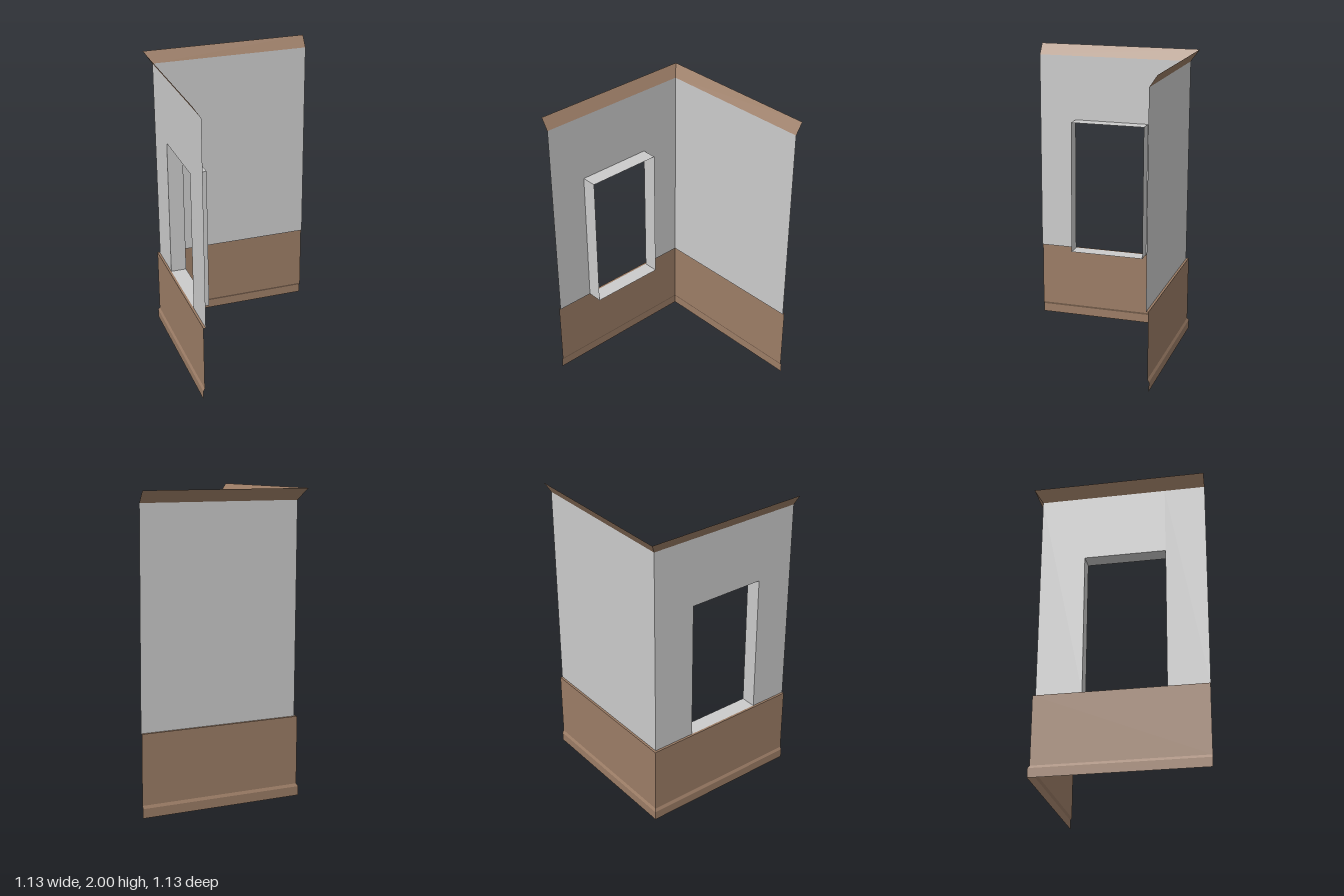
import * as THREE from 'three';

const END = 0.565; // free end of both walls
const WALL = -0.515; // plane of the plaster on both walls
const RAIL = 0.53; // top of the wainscot
const WINDOW = { y: 1.475, z0: -0.223, z1: 0.303, inner: -0.41 };

export function createModel() {
  const model = new THREE.Group();
  model.name = 'roomCorner';

  const plaster = new THREE.MeshStandardMaterial({ color: 0xcccccc, side: THREE.DoubleSide });
  plaster.name = 'grey plaster';
  const wood = new THREE.MeshStandardMaterial({ color: 0x9c7d66, side: THREE.DoubleSide });
  wood.name = 'brown wood';

  // Flat-shaded sheet from quads, each given as four corners
  function sheet(name, material, quads) {
    const points = quads.flatMap(([a, b, c, d]) => [a, b, c, a, c, d]).flat();
    const geometry = new THREE.BufferGeometry();
    geometry.setAttribute('position', new THREE.Float32BufferAttribute(points, 3));
    geometry.computeVertexNormals();
    const mesh = new THREE.Mesh(geometry, material);
    mesh.name = name;
    model.add(mesh);
  }

  // Profile of [offset, height] points, bottom to top, mitred around the corner
  function molding(name, profile) {
    const quads = [];
    for (let i = 0; i < profile.length - 1; i++) {
      const [d0, y0] = profile[i];
      const [d1, y1] = profile[i + 1];
      quads.push([[d0, y0, d0], [END, y0, d0], [END, y1, d1], [d1, y1, d1]]);
      quads.push([[d0, y0, END], [d0, y0, d0], [d1, y1, d1], [d1, y1, END]]);
    }
    sheet(name, wood, quads);
  }

  molding('baseboard', [[-0.54, 0], [-0.54, 0.06], [-0.53, 0.078]]);
  molding('wainscot', [[-0.53, 0.078], [-0.53, RAIL], [WALL, RAIL]]);
  molding('crownMolding', [[WALL, 1.925], [-0.565, 2]]);

  // Plain back wall
  const top = 1.925;
  sheet('backWall', plaster, [
    [[WALL, RAIL, WALL], [END, RAIL, WALL], [END, top, WALL], [WALL, top, WALL]],
  ]);

  // Side wall around the window opening
  const { y: head, z0, z1, inner } = WINDOW;
  const sidePanel = (za, zb, ya) => [[WALL, ya, zb], [WALL, ya, za], [WALL, top, za], [WALL, top, zb]];
  sheet('windowWall', plaster, [
    sidePanel(WALL, z0, RAIL),
    sidePanel(z0, z1, head),
    sidePanel(z1, END, RAIL),
  ]);

  // Window reveal: sill, two jambs and head, facing into the opening
  const ring = [[RAIL, z0], [RAIL, z1], [head, z1], [head, z0]];
  sheet('windowReveal', plaster, ring.map(([ya, za], i) => {
    const [yb, zb] = ring[(i + 1) % 4];
    return [[WALL, ya, za], [WALL, yb, zb], [inner, yb, zb], [inner, ya, za]];
  }));

  return model;
}
